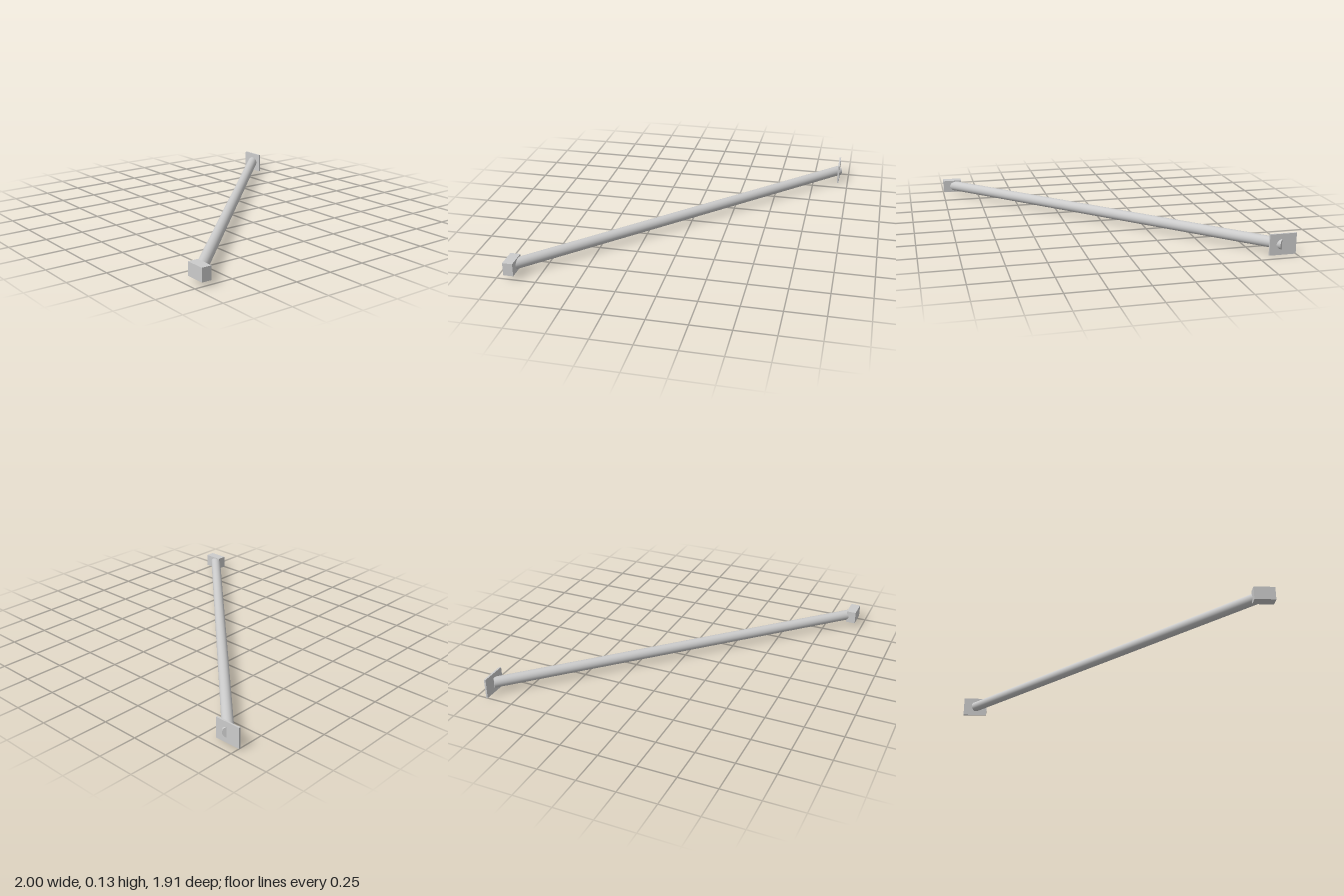
import * as THREE from 'three';

export function createModel() {
  const group = new THREE.Group();
  const material = new THREE.MeshStandardMaterial({ color: 0xcccccc });
  const midY = 0.067;

  const add = (name, geometry, x, z) => {
    const mesh = new THREE.Mesh(geometry, material);
    mesh.name = name;
    mesh.position.set(x, midY, z);
    group.add(mesh);
    return mesh;
  };

  // Round bar running diagonally, its back end poking through the plate
  const start = new THREE.Vector3(-0.914, midY, -0.929);
  const end = new THREE.Vector3(0.93, midY, 0.915);
  const axis = end.clone().sub(start);
  const bar = add('bar', new THREE.CylinderGeometry(0.035, 0.035, axis.length(), 48),
    (start.x + end.x) / 2, (start.z + end.z) / 2);
  bar.quaternion.setFromUnitVectors(new THREE.Vector3(0, 1, 0), axis.normalize());

  // Thin wall plate at the back end
  add('wallPlate', new THREE.BoxGeometry(0.172, 0.134, 0.012), -0.914, -0.93);

  // Solid mounting block at the front end
  add('endBlock', new THREE.BoxGeometry(0.13, 0.084, 0.064), 0.935, 0.921);

  return group;
}
